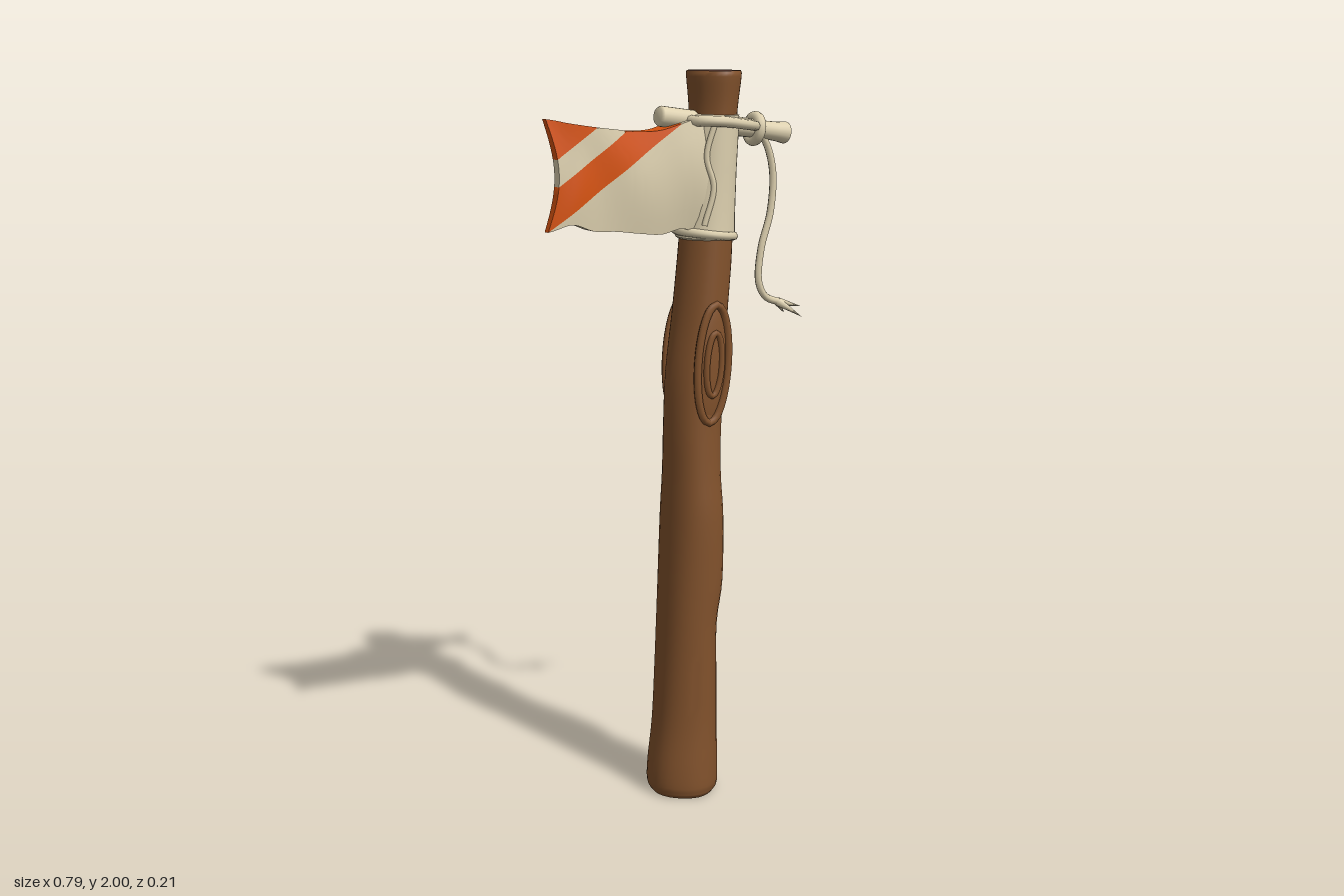
import * as THREE from 'three';
import { toCreasedNormals } from 'three/addons/utils/BufferGeometryUtils.js';

const V = (x, y, z = 0) => new THREE.Vector3(x, y, z);

// Skin a list of closed rings (equal point counts) into one surface.
function loft(rings, crease = 0.9) {
  const n = rings[0].length, index = [];
  for (let r = 0; r < rings.length - 1; r++) {
    for (let s = 0; s < n; s++) {
      const a = r * n + s, b = r * n + (s + 1) % n;
      index.push(a, a + n, b, b, a + n, b + n);
    }
  }
  const geo = new THREE.BufferGeometry().setFromPoints(rings.flat());
  geo.setIndex(index);
  return toCreasedNormals(geo, crease);
}

// Smooth lookup through evenly spaced values.
function smoothTable(values) {
  const curve = new THREE.SplineCurve(values.map((v, i) => new THREE.Vector2(i, v)));
  return t => curve.getPoint(t).y;
}

export function createModel() {
  const model = new THREE.Group();
  const material = (name, color) => {
    const m = new THREE.MeshStandardMaterial({ color });
    m.name = name;
    return m;
  };
  const bark = material('bark brown', 0x82522c);
  const endGrain = material('end grain dark brown', 0x412720);
  const cream = material('cream cloth', 0xdccfae);
  const orange = material('orange paint', 0xd9540f);

  const add = (name, geometry, mat, parent = model) => {
    const mesh = new THREE.Mesh(geometry, mat);
    mesh.name = name;
    parent.add(mesh);
    return mesh;
  };
  const tube = (name, points, radius, closed = false) => add(name, new THREE.TubeGeometry(
    new THREE.CatmullRomCurve3(points, closed), 48, radius, 8, closed), cream);

  // Pole: y, left x, right x, half depth
  const sections = [
    [0, -0.075, 0.1, 0.095], [0.02, -0.085, 0.11, 0.105], [0.08, -0.083, 0.111, 0.105],
    [0.2, -0.068, 0.109, 0.1], [0.35, -0.058, 0.107, 0.1], [0.5, -0.05, 0.107, 0.101],
    [0.62, -0.045, 0.125, 0.104], [0.8, -0.037, 0.125, 0.104], [0.92, -0.032, 0.118, 0.095],
    [1.05, -0.031, 0.121, 0.088], [1.2, -0.026, 0.135, 0.085], [1.36, -0.005, 0.14, 0.083],
    [1.5, 0.01, 0.152, 0.08], [1.65, 0.024, 0.158, 0.076], [1.8, 0.042, 0.162, 0.074],
    [1.9, 0.048, 0.168, 0.077], [1.985, 0.042, 0.178, 0.086], [2, 0.044, 0.176, 0.084],
  ];
  const spine = new THREE.CatmullRomCurve3(
    sections.map(([y, l, r]) => V((l + r) / 2, y)), false, 'catmullrom');
  const girth = new THREE.CatmullRomCurve3(
    sections.map(([y, l, r, d]) => V((r - l) / 2, y, d)), false, 'catmullrom');
  const poleRing = (t, scale = 1, dy = 0) => {
    const c = spine.getPoint(t), g = girth.getPoint(t);
    return Array.from({ length: 32 }, (_, i) => {
      const a = i / 32 * Math.PI * 2;
      const k = scale * (1 + 0.012 * Math.sin(5 * a + c.y * 3));
      return V(c.x + g.x * k * Math.cos(a), c.y + dy, g.z * k * Math.sin(a));
    });
  };
  add('pole', loft(Array.from({ length: 69 }, (_, i) => poleRing(i / 68))), bark);
  add('poleTop', loft([poleRing(1), poleRing(1, 0.9, -0.004), poleRing(1, 0, -0.006)]), endGrain);
  add('poleBottom', loft([poleRing(0, 0), poleRing(0)]), endGrain);

  // Oval wood knots on front and back
  for (const side of [1, -1]) {
    const knot = new THREE.Group();
    knot.name = side > 0 ? 'frontWoodKnot' : 'backWoodKnot';
    knot.position.set(0.059, 1.23, side * 0.077);
    knot.rotation.z = -0.07;
    model.add(knot);
    add('knotBase', new THREE.SphereGeometry(1, 24, 16).scale(0.05, 0.165, 0.016), bark, knot);
    for (const [w, h, r] of [[0.047, 0.16, 0.011], [0.023, 0.085, 0.009]]) {
      const path = new THREE.CatmullRomCurve3(Array.from({ length: 16 }, (_, i) => {
        const a = i / 16 * Math.PI * 2;
        return V(w * Math.cos(a), h * Math.sin(a), side * (w < 0.03 ? 0.014 : 0.008));
      }), true);
      add('knotRidge', new THREE.TubeGeometry(path, 48, r, 8, true), bark, knot);
    }
  }

  // Cloth sleeve wrapped around the pole
  const ovalRing = (cx, y, rx, rz, n = 32) => Array.from({ length: n }, (_, i) => {
    const a = i / n * Math.PI * 2;
    return V(cx + rx * Math.cos(a), y, rz * Math.sin(a));
  });
  add('clothSleeve', loft([
    ovalRing(0.084, 1.56, 0.072, 0.078), ovalRing(0.084, 1.565, 0.079, 0.085),
    ovalRing(0.088, 1.62, 0.075, 0.082), ovalRing(0.095, 1.74, 0.072, 0.081),
    ovalRing(0.102, 1.85, 0.071, 0.082), ovalRing(0.104, 1.885, 0.07, 0.081),
    ovalRing(0.105, 1.89, 0.05, 0.06),
  ]), cream);
  for (const z of [1, -1]) {
    tube('sleeveFold', [V(0.072, 1.87, z * 0.071), V(0.05, 1.78, z * 0.064),
      V(0.066, 1.7, z * 0.073), V(0.042, 1.6, z * 0.066)], 0.008);
  }

  // Rope bindings
  tube('lowerRope', ovalRing(0.083, 1.573, 0.077, 0.081, 16)
    .map(p => p.setY(p.y - (p.x - 0.083) * 0.12)), 0.012, true);
  const loop = [[0.225, 0.025], [0.19, 0.062], [0.15, 0.081], [0.1, 0.087], [0.055, 0.077], [0.03, 0.05]];
  const ropeHeight = x => 1.872 - Math.max(0, x - 0.08) * 0.13;
  tube('upperRope', [
    ...loop.map(([x, z]) => V(x, ropeHeight(x), z)),
    ...loop.map(([x, z]) => V(x, ropeHeight(x), -z)).reverse(),
  ], 0.014, true);

  // Crosswise peg through the pole, cut end facing the model's left
  const peg = new THREE.Group();
  peg.name = 'peg';
  peg.position.set(0.14, 1.858, 0);
  peg.rotation.z = -Math.PI / 2 - 0.135;
  model.add(peg);
  add('pegShaft', new THREE.LatheGeometry([[0, -0.203], [0.022, -0.203], [0.027, -0.195],
    [0.027, 0], [0.024, 0.12], [0.026, 0.17], [0.03, 0.198], [0.028, 0.203]]
    .map(([x, y]) => new THREE.Vector2(x, y)), 20), cream, peg);
  add('pegEnd', new THREE.CircleGeometry(0.028, 20).rotateX(-Math.PI / 2).translate(0, 0.203, 0), bark, peg);
  add('ropeKnot', new THREE.TorusGeometry(0.032, 0.015, 10, 24).rotateX(Math.PI / 2)
    .translate(0, 0.1, 0), cream, peg);

  // Hanging cord with a frayed tip
  tube('hangingCord', [V(0.245, 1.84), V(0.275, 1.81), V(0.3, 1.73), V(0.294, 1.62),
    V(0.265, 1.52), V(0.258, 1.43), V(0.28, 1.387), V(0.335, 1.365)], 0.01);
  for (const tip of [V(0.4, 1.35), V(0.373, 1.328, 0.045), V(0.373, 1.328, -0.045)]) {
    const start = V(0.322, 1.369), dir = tip.clone().sub(start);
    const strand = add('frayedStrand', new THREE.ConeGeometry(0.012, dir.length(), 8), cream);
    strand.position.copy(start).addScaledVector(dir, 0.5);
    strand.quaternion.setFromUnitVectors(V(0, 1), dir.normalize());
  }

  // Flag: padded cloth split along diagonal lines into coloured bands
  const topEdge = smoothTable([1.885, 1.873, 1.863, 1.855, 1.848, 1.85, 1.868, 1.885]);
  const bottomEdge = smoothTable([1.6, 1.617, 1.597, 1.593, 1.585, 1.58, 1.592, 1.56]);
  const thickness = smoothTable([0.014, 0.027, 0.029, 0.032, 0.037, 0.046, 0.058, 0.068]);
  const flagX = (u, v) => THREE.MathUtils.lerp(-0.39 + 0.03 * Math.sin(Math.PI * v), 0.06, u);
  // Height where the stripe line y = d + 0.7x crosses a column
  const stripeY = (u, d) => {
    const lo = bottomEdge(u), hi = topEdge(u);
    let y = lo;
    for (let i = 0; i < 6; i++) {
      y = THREE.MathUtils.clamp(d + 0.7 * flagX(u, (y - lo) / (hi - lo)), lo, hi);
    }
    return y;
  };
  const bandRing = (u, d0, d1, flat) => {
    const lo = bottomEdge(u), hi = topEdge(u), y0 = stripeY(u, d0), y1 = stripeY(u, d1);
    const side = s => Array.from({ length: 7 }, (_, i) => {
      const y = THREE.MathUtils.lerp(y0, y1, i / 6), v = (y - lo) / (hi - lo);
      const half = flat || y1 - y0 < 1e-4 ? 0
        : thickness(u) * (0.7 + 0.3 * Math.sin(Math.PI * v));
      const ripple = 0.005 * Math.sin(u * 11 + v * 4) * (1 - u);
      return V(flagX(u, v), y, s * half + ripple);
    });
    return [...side(1), ...side(-1).reverse()];
  };
  const flag = new THREE.Group();
  flag.name = 'flag';
  model.add(flag);
  const lines = [0, 1.873, 1.967, 2.037, 9];
  for (let b = 0; b < 4; b++) {
    const rings = [bandRing(0, lines[b], lines[b + 1], true)];
    for (let i = 0; i <= 56; i++) rings.push(bandRing(i / 56, lines[b], lines[b + 1], false));
    add(b % 2 ? 'flagStripe' : 'flagCloth', loft(rings), b % 2 ? orange : cream, flag);
  }
  return model;
}
